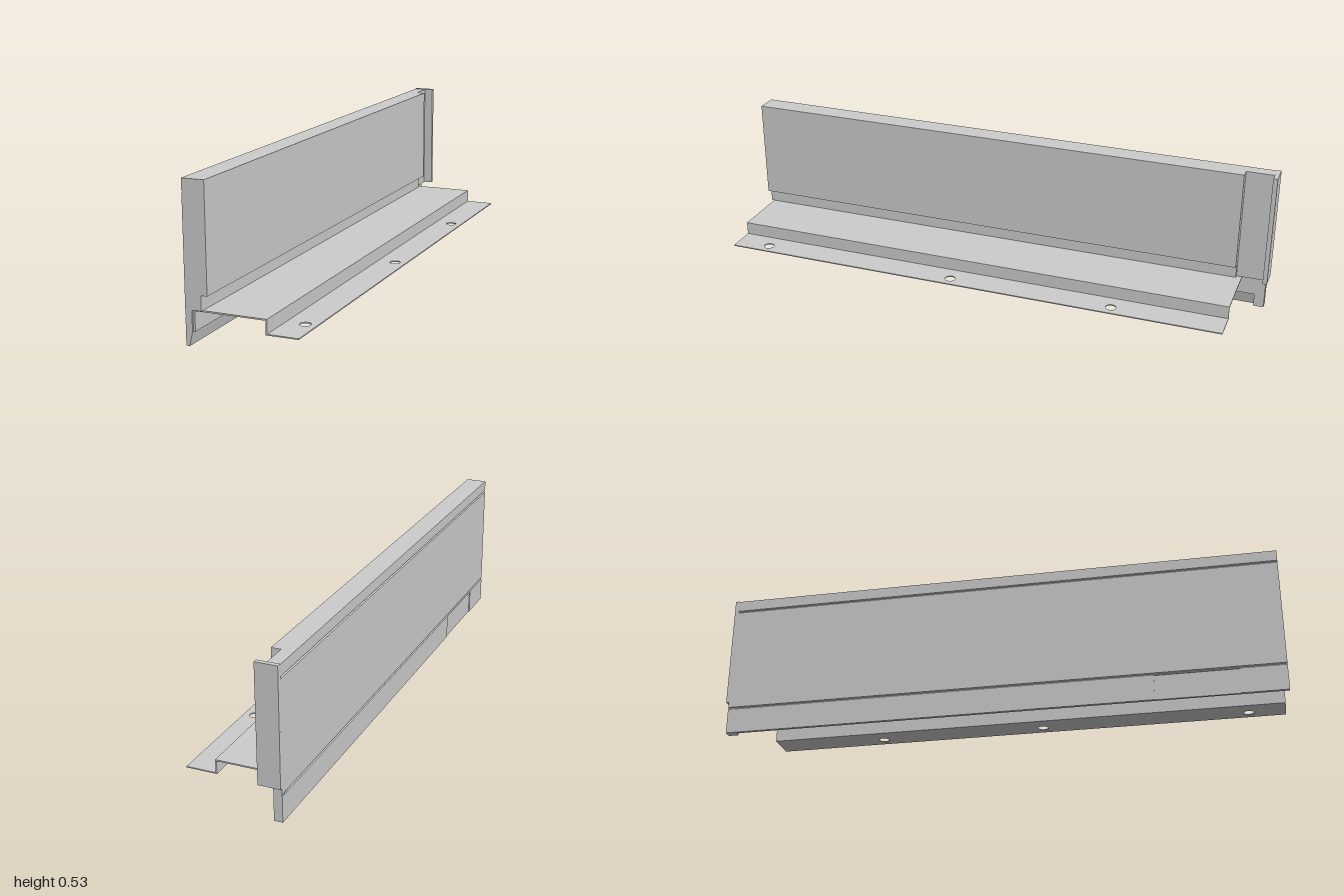
import * as THREE from 'three';

const material = new THREE.MeshStandardMaterial({ color: 0xcccccc, flatShading: true });

// Extrudes an x-y profile between two z positions.
function extrudeZ(name, points, z0, z1) {
  const shape = new THREE.Shape(points.map(([x, y]) => new THREE.Vector2(x, y)));
  const geometry = new THREE.ExtrudeGeometry(shape, { depth: z1 - z0, bevelEnabled: false });
  geometry.translate(0, 0, z0);
  const mesh = new THREE.Mesh(geometry, material);
  mesh.name = name;
  return mesh;
}

function box(name, x0, x1, y0, y1, z0, z1) {
  const geometry = new THREE.BoxGeometry(x1 - x0, y1 - y0, z1 - z0);
  geometry.translate((x0 + x1) / 2, (y0 + y1) / 2, (z0 + z1) / 2);
  const mesh = new THREE.Mesh(geometry, material);
  mesh.name = name;
  return mesh;
}

const OUTER = -0.19, TOP = 0.53, DECK = 0.117;

// Small V groove on the outer face, listed from top to bottom.
const groove = (y) => [[OUTER, y + 0.004], [OUTER + 0.004, y], [OUTER, y - 0.004]];

// Outer face from top to bottom; the lower strip may be set back.
const outerFace = (stripX) => [
  [OUTER, TOP], ...groove(0.487), ...groove(0.095), [stripX, 0.09], [stripX, 0],
];

// Inner face from bottom to top, with the tapered lip and the ledge recess.
const innerFace = [
  [-0.178, 0], [-0.167, 0.047], [-0.167, DECK],
  [-0.134, DECK], [-0.134, 0.167], [-0.112, 0.167], [-0.112, TOP],
];

export function createModel() {
  const group = new THREE.Group();
  group.name = 'drawerSide';

  // Long side wall, with one shallow recess in its lower outer strip
  for (const [name, z0, z1, stripX] of [
    ['wallRear', -0.885, 0.55, OUTER],
    ['wallRecessed', 0.55, 0.84, OUTER + 0.003],
    ['wallFront', 0.84, 1, OUTER],
  ]) group.add(extrudeZ(name, [...outerFace(stripX), ...innerFace], z0, z1));

  // Thin rear web behind the thick wall, its lip running on below
  group.add(extrudeZ('rearWeb', [
    ...outerFace(OUTER), [-0.178, 0], [-0.167, 0.047], [-0.167, DECK], [-0.146, DECK], [-0.146, TOP],
  ], -0.99, -0.885));
  group.add(box('rearFoot', -0.188, -0.16, 0, DECK, -0.99, -0.953));

  // Rear hook plate
  group.add(box('rearHook', OUTER, -0.112, 0.12, 0.532, -1, -0.984));

  // Flange holding the shelf against the wall
  group.add(box('shelfFlange', -0.167, -0.16, 0.047, DECK, -0.953, 0.994));

  // Stepped shelf
  group.add(extrudeZ('shelf', [
    [-0.167, DECK], [-0.167, 0.112], [0.08, 0.112], [0.08, 0.066],
    [0.085, 0.066], [0.085, DECK],
  ], -0.905, 0.99));

  // Mounting strip with three screw holes
  const strip = new THREE.Shape([
    new THREE.Vector2(0.085, -0.99), new THREE.Vector2(0.19, -0.99),
    new THREE.Vector2(0.19, 0.905), new THREE.Vector2(0.085, 0.905),
  ]);
  for (const z of [-0.5, 0.11, 0.86]) {
    const hole = new THREE.Path();
    hole.absarc(0.15, -z, 0.019, 0, Math.PI * 2, true);
    strip.holes.push(hole);
  }
  const stripGeometry = new THREE.ExtrudeGeometry(strip, { depth: 0.004, bevelEnabled: false, curveSegments: 24 });
  stripGeometry.rotateX(-Math.PI / 2);
  stripGeometry.translate(0, 0.066, 0);
  const stripMesh = new THREE.Mesh(stripGeometry, material);
  stripMesh.name = 'mountingStrip';
  group.add(stripMesh);

  return group;
}
